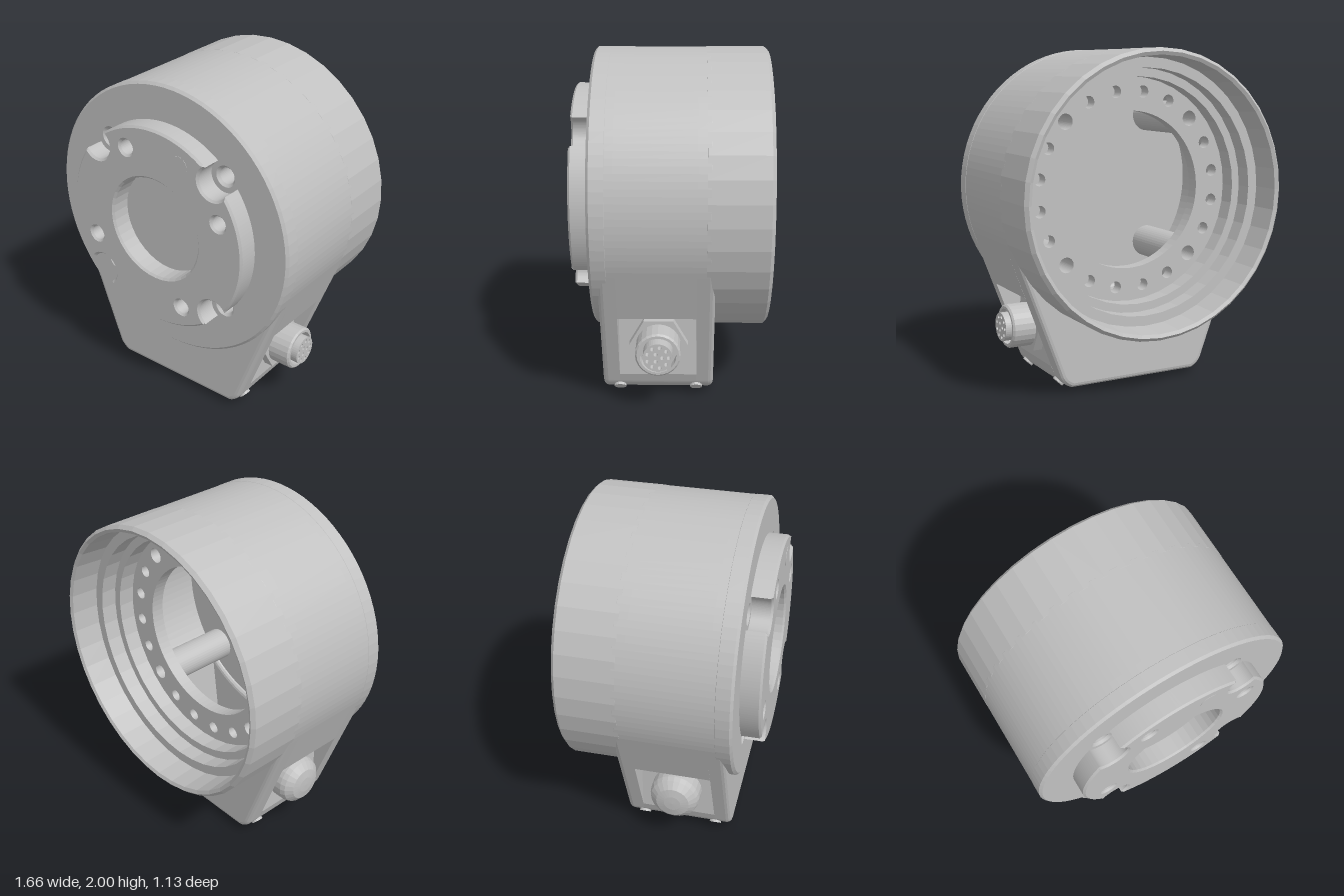
import * as THREE from 'three';

const CY = 1.17;                 // height of the barrel axis
const DIAG = 0.415;              // offset of the four through holes
const corners = [[1, 1], [-1, 1], [-1, -1], [1, -1]].map(([a, b]) => [a * DIAG, CY + b * DIAG]);

export function createModel() {
  const model = new THREE.Group();
  const grey = new THREE.MeshStandardMaterial({ color: 0xc0c0c0 });
  grey.name = 'machinedGrey';

  function add(name, geometry) {
    const flat = geometry.index ? geometry.toNonIndexed() : geometry;
    flat.computeVertexNormals();
    const mesh = new THREE.Mesh(flat, grey);
    mesh.name = name;
    model.add(mesh);
    return mesh;
  }
  const circle = (Type, x, y, r) => new Type().absarc(x, y, r, 0, Math.PI * 2, false);
  const disc = (x, y, r, holes = []) => {
    const s = circle(THREE.Shape, x, y, r);
    for (const [hx, hy, hr] of holes) s.holes.push(circle(THREE.Path, hx, hy, hr));
    return s;
  };
  // Extrude between two z values, the bevel staying inside the outline
  function slab(shape, z0, z1, bevel = 0, segments = 40) {
    const g = new THREE.ExtrudeGeometry(shape, {
      depth: z1 - z0 - 2 * bevel, curveSegments: segments, bevelEnabled: bevel > 0,
      bevelSize: bevel, bevelThickness: bevel, bevelOffset: -bevel, bevelSegments: bevel > 0.02 ? 3 : 1,
    });
    return g.translate(0, 0, z0 + bevel);
  }
  const lathe = (pts, n) => new THREE.LatheGeometry(pts.map(([r, h]) => new THREE.Vector2(r, h)), n);

  // Teardrop outline of the housing, optionally notched for the side pockets
  function teardrop(notched) {
    const s = new THREE.Shape();
    s.absarc(0, CY, 0.828, -0.379, Math.PI + 0.379, false);
    if (notched) {
      s.lineTo(-0.664, 0.58);
      s.lineTo(-0.505, 0.58);
      s.lineTo(-0.505, 0.155);
    }
    s.lineTo(-0.485, 0.105);
    s.quadraticCurveTo(-0.465, 0.055, -0.41, 0.035);
    s.lineTo(0.41, 0.035);
    s.quadraticCurveTo(0.465, 0.055, 0.485, 0.105);
    if (notched) {
      s.lineTo(0.505, 0.155);
      s.lineTo(0.505, 0.58);
      s.lineTo(0.664, 0.58);
    }
    return s;
  }
  // Round cavity opening down into the connection box
  function cavity() {
    const p = new THREE.Path();
    p.absarc(0, CY, 0.70, -0.85, Math.PI + 0.85, false);
    p.lineTo(-0.40, 0.14);
    p.lineTo(0.40, 0.14);
    p.closePath();
    return p;
  }

  // Housing: rounded end walls and three hollow slices
  for (const [name, z0, z1] of [['housingRearWall', -0.25, -0.16], ['housingFrontWall', 0.31, 0.40]]) {
    const s = teardrop(false);
    s.holes.push(circle(THREE.Path, 0, CY, 0.70));
    add(name, slab(s, z0, z1, 0.03));
  }
  for (const [z0, z1, notched] of [[-0.22, -0.15, false], [-0.15, 0.30, true], [0.30, 0.37, false]]) {
    const s = teardrop(notched);
    s.holes.push(cavity());
    add(notched ? 'housingMiddle' : 'housingSlice', slab(s, z0, z1));
  }

  // Rear barrel with its stepped mouth
  const barrel = lathe([
    [0.81, -0.56], [0.83, -0.54], [0.83, -0.20], [0.67, -0.10], [0.67, -0.28], [0.72, -0.28],
    [0.72, -0.38], [0.78, -0.38], [0.79, -0.55], [0.81, -0.56],
  ], 40);
  add('rearBarrel', barrel.rotateX(Math.PI / 2).translate(0, CY, 0));

  // Inner bolt ring
  const boltHoles = [[0, CY, 0.47]];
  for (let i = 0; i < 20; i++) {
    const a = (9 + 18 * i) * Math.PI / 180;
    boltHoles.push([0.587 * Math.cos(a), CY + 0.587 * Math.sin(a), i % 5 === 2 ? 0.046 : 0.036]);
  }
  add('boltRing', slab(disc(0, CY, 0.69, boltHoles), -0.18, -0.10));

  // Front plate and the hollow posts behind its through holes
  add('frontPlate', slab(disc(0, CY, 0.83, corners.map(([x, y]) => [x, y, 0.048])), 0.335, 0.445, 0.015));
  for (const [x, y] of corners) {
    add('screwPost', slab(disc(x, y, 0.10, [[x, y, 0.048]]), -0.12, 0.40, 0, 20));
  }

  // Mounting flange with counterbore notches, centre recess and small holes
  const R = 0.615, d = DIAG * Math.SQRT2, r = 0.095;
  const alpha = Math.acos((R * R + d * d - r * r) / (2 * R * d));
  const beta = Math.atan2(R * Math.sin(alpha), R * Math.cos(alpha) - d);
  const flange = new THREE.Shape();
  corners.forEach(([x, y], i) => {
    const a = Math.PI / 4 + i * Math.PI / 2;
    flange.absarc(x, y, r, a - beta, a + beta, true);
    flange.absarc(0, CY, R, a + alpha, a + Math.PI / 2 - alpha, false);
  });
  flange.holes.push(circle(THREE.Path, 0, CY, 0.312));
  for (const [x, y] of [[-0.19, 1.625], [0.455, 1.36], [-0.455, 0.985], [0.19, 0.72]]) {
    flange.holes.push(circle(THREE.Path, x, y, 0.045));
  }
  add('mountingFlange', slab(flange, 0.42, 0.565, 0.012, 20));
  add('dowelPlug', slab(disc(0.19, 1.625, 0.057), 0.5, 0.567, 0, 20));

  // Socket connector in the pocket on the +x side
  const toPlusX = (g) => g.rotateZ(-Math.PI / 2).translate(0, 0.37, 0.07);
  add('connectorNut', toPlusX(new THREE.CylinderGeometry(0.17, 0.17, 0.06, 6).translate(0, 0.53, 0)));
  add('connectorSleeve', toPlusX(lathe([
    [0.13, 0.50], [0.13, 0.69], [0.12, 0.70], [0.105, 0.70], [0.105, 0.64], [0, 0.64],
  ], 24)));
  const pinHoles = [];
  for (let i = 0; i < 12; i++) {
    const inner = i < 3;
    const a = inner ? i * Math.PI * 2 / 3 : i * Math.PI * 2 / 9;
    const q = inner ? 0.025 : 0.062;
    pinHoles.push([q * Math.cos(a), q * Math.sin(a), 0.011]);
  }
  add('connectorInsert', slab(disc(0, 0, 0.085, pinHoles), 0.63, 0.73, 0, 20)
    .rotateY(Math.PI / 2).translate(0, 0.37, 0.07));

  // Domed blanking cap in the pocket on the -x side
  add('blankingCap', lathe([
    [0.15, 0.50], [0.15, 0.58], [0.14, 0.61], [0.10, 0.645], [0.05, 0.655], [0, 0.657],
  ], 24).rotateZ(Math.PI / 2).translate(0, 0.34, 0.07));

  // Plugs and corner screws under the box
  for (const [x, z] of [[0.225, 0.2], [0, -0.04], [-0.225, 0.2]]) {
    add('bottomPlug', lathe([[0, 0], [0.075, 0], [0.085, 0.01], [0.085, 0.05]], 20).translate(x, 0, z));
  }
  for (const side of [1, -1]) {
    for (const z of [0.3, -0.15]) {
      add('cornerScrew', new THREE.CylinderGeometry(0.036, 0.036, 0.04, 14)
        .rotateZ(side * Math.PI / 4).translate(side * 0.45, 0.068, z));
    }
  }
  return model;
}
